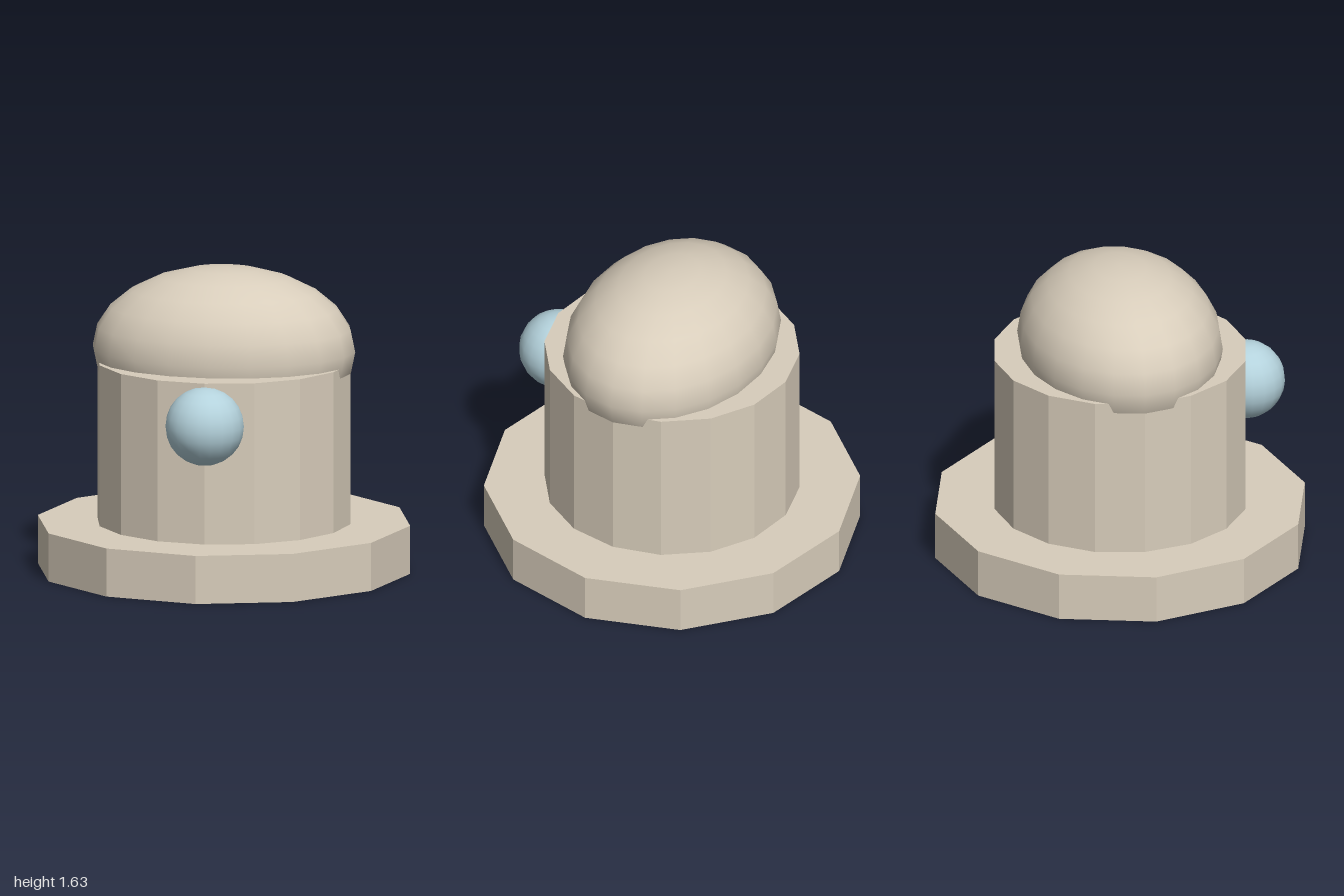
import * as THREE from 'three';

const stone = new THREE.MeshStandardMaterial({ color: 0xd8cdbb });
stone.name = 'warm stone';
const blue = new THREE.MeshStandardMaterial({ color: 0xb4d2dc });
blue.name = 'pale blue';

// Faceted upright prism with a corner facing +z
function prism(name, radius, bottom, top, sides) {
  const faceted = new THREE.CylinderGeometry(radius, radius, top - bottom, sides).toNonIndexed();
  faceted.computeVertexNormals();
  const mesh = new THREE.Mesh(faceted, stone);
  mesh.name = name;
  mesh.position.y = (bottom + top) / 2;
  return mesh;
}

// Smooth ellipsoid
function ellipsoid(name, material, radii, centre) {
  const geometry = new THREE.SphereGeometry(1, 20, 12).scale(...radii);
  const mesh = new THREE.Mesh(geometry, material);
  mesh.name = name;
  mesh.position.set(...centre);
  return mesh;
}

export function createModel() {
  const model = new THREE.Group();
  model.name = 'domedPedestal';
  model.add(
    prism('base', 1, 0, 0.26, 12),
    prism('body', 0.68, 0.26, 1.13, 16),
    // Wide oval cap sunk into the body
    ellipsoid('dome', stone, [0.705, 0.445, 0.54], [0, 1.19, 0]),
    // Round lens half sunk into the front
    ellipsoid('frontLens', blue, [0.21, 0.21, 0.21], [0, 0.9, 0.68]),
  );
  return model;
}
